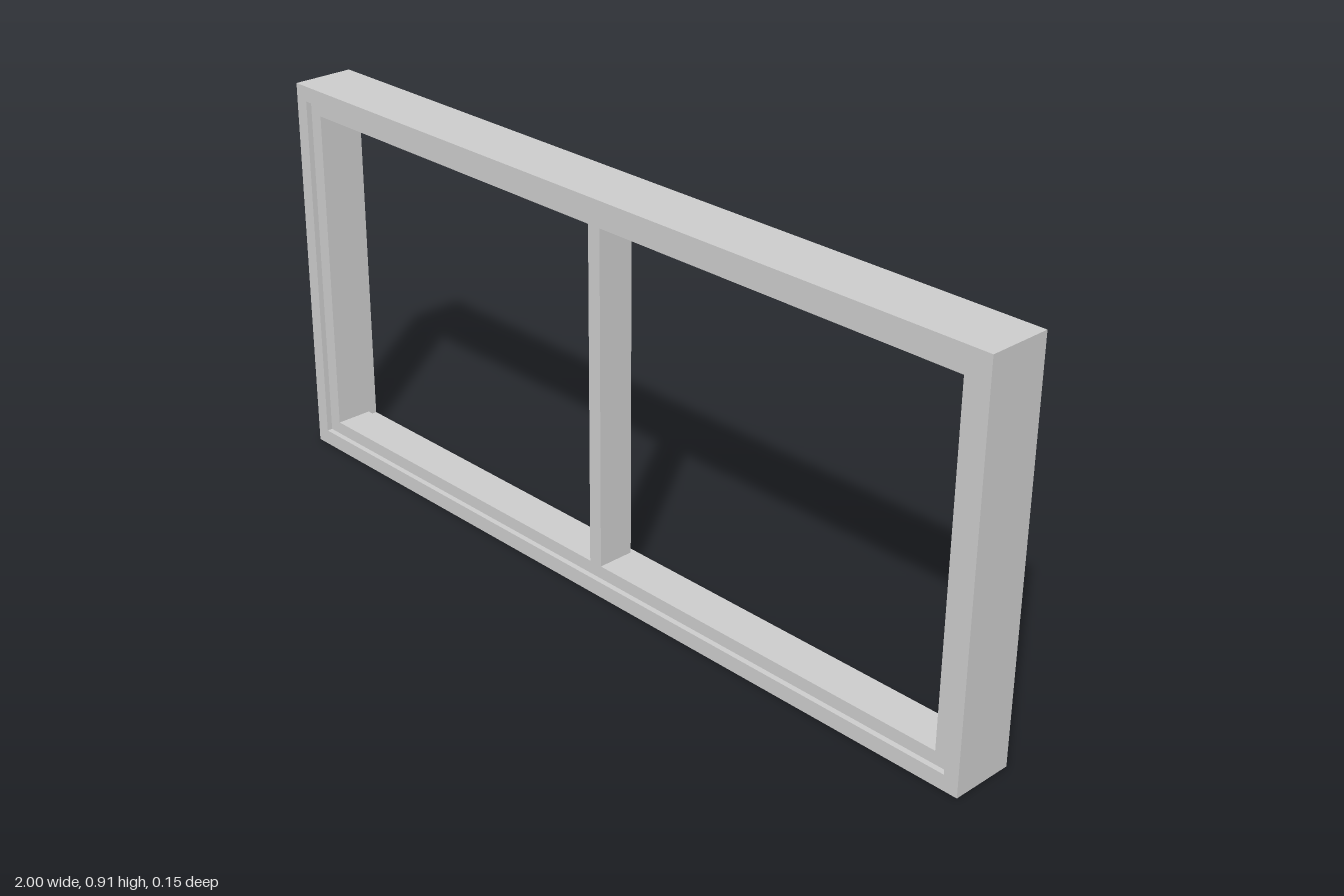
import * as THREE from 'three';

const material = new THREE.MeshStandardMaterial({ color: 0xcccccc, flatShading: true });

// Trace a rectangle given by its edges onto a Shape or Path
function rect(path, x0, y0, x1, y1) {
  path.moveTo(x0, y0);
  path.lineTo(x1, y0);
  path.lineTo(x1, y1);
  path.lineTo(x0, y1);
  path.closePath();
  return path;
}

// Rectangular panel with rectangular openings, from z0 to z1
function panel(name, outer, holes, z0, z1) {
  const shape = rect(new THREE.Shape(), ...outer);
  for (const h of holes) shape.holes.push(rect(new THREE.Path(), ...h));
  const geometry = new THREE.ExtrudeGeometry(shape, { depth: z1 - z0, bevelEnabled: false });
  geometry.translate(0, 0, z0);
  const mesh = new THREE.Mesh(geometry, material);
  mesh.name = name;
  return mesh;
}

export function createModel() {
  const group = new THREE.Group();
  group.name = 'windowFrame';

  // Deep outer frame
  const opening = [-0.966, 0.036, 0.966, 0.876];
  group.add(panel('outerFrame', [-1, 0, 1, 0.912], [opening], -0.074, 0.074));

  // Inner sash, set close to the front, with a slightly off-centre mullion between two openings
  const bottom = 0.066, top = 0.846;
  group.add(panel('sashWithMullion', opening, [
    [-0.932, bottom, -0.027, top],
    [0.007, bottom, 0.932, top],
  ], -0.027, 0.061));

  return group;
}
